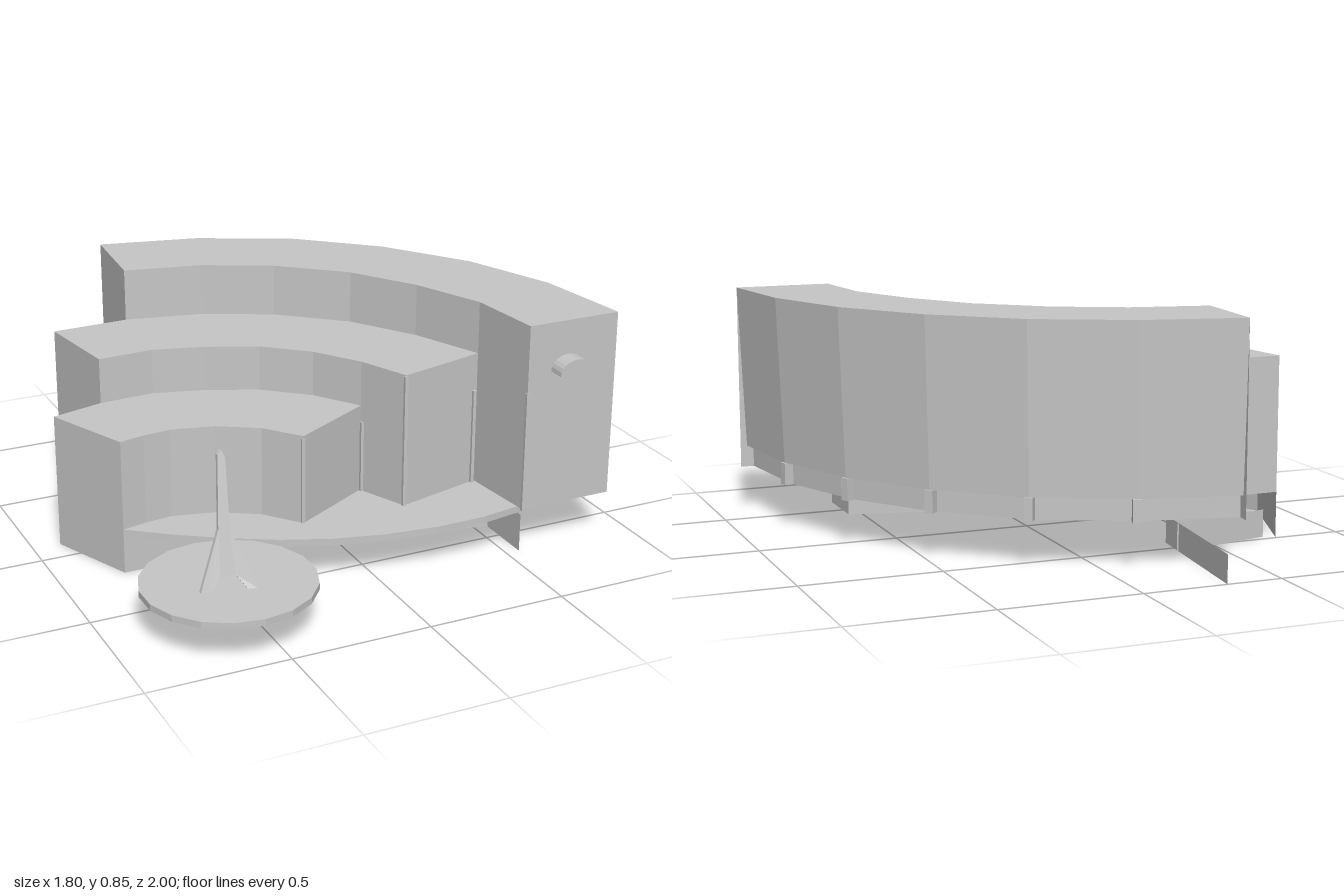
import * as THREE from 'three';

const concrete = new THREE.MeshStandardMaterial({ color: 0xc6c6c6, flatShading: true, side: THREE.DoubleSide });
concrete.name = 'pale grey';

export function createModel() {
  const model = new THREE.Group();

  const add = (name, geometry, x = 0, y = 0, z = 0) => {
    const mesh = new THREE.Mesh(geometry, concrete);
    mesh.name = name;
    mesh.position.set(x, y, z);
    model.add(mesh);
    return mesh;
  };

  const planShape = (plan) => new THREE.Shape(plan.map(([x, z]) => new THREE.Vector2(x, -z)));

  // Upright solid over a plan outline of [x, z] points
  const prism = (name, plan, y0, y1) => {
    const geo = new THREE.ExtrudeGeometry(planShape(plan), { depth: y1 - y0, bevelEnabled: false });
    add(name, geo.rotateX(-Math.PI / 2), 0, y0, 0);
  };

  // Flat sheet over a plan outline
  const deck = (name, plan, y) => add(name, new THREE.ShapeGeometry(planShape(plan)).rotateX(-Math.PI / 2), 0, y, 0);

  // Thin wall following a plan path; the top may follow a different path
  const wall = (name, path, y0, y1, topPath = path) => {
    const pos = [];
    for (let i = 0; i + 1 < path.length; i++) {
      const a = [path[i][0], y0, path[i][1]], b = [path[i + 1][0], y0, path[i + 1][1]];
      const c = [topPath[i + 1][0], y1, topPath[i + 1][1]], d = [topPath[i][0], y1, topPath[i][1]];
      pos.push(...a, ...b, ...c, ...a, ...c, ...d);
    }
    const geo = new THREE.BufferGeometry();
    geo.setAttribute('position', new THREE.Float32BufferAttribute(pos, 3));
    geo.computeVertexNormals();
    add(name, geo);
  };

  // Concentric plan curves, each from the front end round to the back end
  const tallOuter = [[0.9, 0.65], [0.85, 0.28], [0.72, -0.06], [0.51, -0.36], [0.24, -0.6], [-0.09, -0.76], [-0.45, -0.84]];
  const tallInner = [[0.55, 0.65], [0.52, 0.36], [0.41, 0.1], [0.26, -0.13], [0.04, -0.32], [-0.2, -0.44], [-0.48, -0.5]];
  const midInner = [[0.19, 0.445], [0.11, 0.26], [0, 0.1], [-0.15, -0.03], [-0.33, -0.11], [-0.51, -0.16], [-0.71, -0.15]];
  const lowInner = [[-0.19, 0.425], [-0.29, 0.3], [-0.43, 0.215], [-0.58, 0.18], [-0.68, 0.19], [-0.77, 0.21]];
  const midBack = [-0.76, -0.49], lowBack = [-0.9, -0.1];
  const ring = (outer, inner) => [...outer, ...[...inner].reverse()];
  const inset = (t) => tallOuter.map((p, i) => p.map((v, k) => v + (tallInner[i][k] - v) * t));

  // Tall block: hollow shell with a slightly tapering outer wall
  const tallFoot = inset(0.07), recess = inset(0.14);
  deck('tallRoof', ring(tallOuter, tallInner), 0.845);
  wall('tallOuterWall', tallFoot, 0.245, 0.845, tallOuter);
  wall('tallInnerWall', tallInner.slice(1), 0.655, 0.845);
  wall('tallFrontInnerWall', tallInner.slice(0, 2), 0.165, 0.845);
  wall('tallFrontEnd', [tallOuter[0], tallInner[0]], 0.165, 0.845);
  wall('tallBackEnd', [tallOuter[6], tallInner[6]], 0.165, 0.845);

  // Recessed storey with soffit and brackets
  wall('soffit', tallFoot, 0.245, 0.245, recess);
  wall('recessedWall', recess, 0.165, 0.245);
  inset(0.12).slice(1, 6).forEach(([x, z], i) => {
    const bracket = add('bracket', new THREE.BoxGeometry(0.05, 0.08, 0.03), x, 0.205, z);
    bracket.rotation.y = -Math.atan2(tallInner[i + 1][1] - z, tallInner[i + 1][0] - x);
  });

  // Middle block
  deck('middleRoof', ring([...tallInner.slice(1), midBack], midInner), 0.655);
  wall('middleStepWall', midInner.slice(1), 0.49, 0.655);
  wall('middleFrontEnd', [tallInner[1], midInner[0], midInner[1]], 0.165, 0.655);
  wall('middleBackEnd', [tallInner[6], midBack, midInner[6]], 0.165, 0.655);

  // Low block
  deck('lowRoof', ring([...midInner.slice(1), lowBack], lowInner), 0.49);
  wall('lowFrontWall', [midInner[1], ...lowInner], 0.165, 0.49);
  wall('lowBackEnd', [lowBack, midInner[6]], 0.165, 0.49);
  wall('lowSideWall', [lowInner[5], lowBack], 0, 0.49);

  // Base: corner walls, ledge, set-back plinth and end plate
  wall('baseCornerWall', [lowBack, midBack], 0, 0.165);
  deck('cornerLedge', [midBack, lowBack, midInner[6]], 0.165);
  wall('plinth', [
    [0.55, 0.64], [0.55, 0.42], [0.3, 0.36], [0.04, 0.29], [-0.2, 0.24], [-0.45, 0.2], [-0.77, 0.21],
  ], 0, 0.14);

  // Overhanging terrace with a curved front
  prism('terrace', [
    [-0.77, 0.21], [-0.63, 0.32], [-0.48, 0.42], [-0.32, 0.51], [-0.15, 0.58], [0.03, 0.625], [0.22, 0.648],
    [0.4, 0.645], [0.55, 0.62], [0.61, 0.6], [0.52, 0.36], [0.19, 0.445], [0.11, 0.26], ...lowInner.slice(0, 5),
  ], 0.14, 0.165);

  // Low walls behind the base
  wall('rearWall', [[-0.36, -0.42], [-0.3, -1]], 0, 0.1);
  wall('rearCrossWall', [[-0.34, -0.55], [-0.72, -0.47]], 0, 0.1);

  // Slim posts at the block corners
  for (const [x, z, top] of [[-0.19, 0.42, 0.48], [0.112, 0.268, 0.43], [0.19, 0.443, 0.65], [0.505, 0.37, 0.52], [0.552, 0.648, 0.6]]) {
    add('cornerPost', new THREE.BoxGeometry(0.012, top - 0.16, 0.012), x, (top + 0.16) / 2, z);
  }

  // Half-round canopy on the front of the tall block
  const canopy = new THREE.CylinderGeometry(0.065, 0.065, 0.065, 12, 1, false, -Math.PI / 2, Math.PI);
  add('canopy', canopy.rotateX(-Math.PI / 2).scale(1, 0.8, 1), 0.705, 0.67, 0.68);
  add('canopyUnderside', new THREE.BoxGeometry(0.13, 0.002, 0.065), 0.705, 0.67, 0.68);

  // Round plaza with a shallow conical underside
  const profile = [[0, 0.07], [0.233, 0.138], [0.297, 0.14], [0.297, 0.163], [0, 0.163]];
  add('plaza', new THREE.LatheGeometry(profile.map(([r, y]) => new THREE.Vector2(r, y)), 18), -0.59, 0, 0.703);

  // Leaning forked spire
  const outline = [
    [-0.71, 0.16], [-0.68, 0.16], [-0.645, 0.21], [-0.59, 0.21], [-0.56, 0.165], [-0.53, 0.165],
    [-0.592, 0.36], [-0.58, 0.58], [-0.59, 0.605], [-0.605, 0.59], [-0.632, 0.36],
  ];
  const spire = new THREE.ExtrudeGeometry(
    new THREE.Shape(outline.map(([x, y]) => new THREE.Vector2(x, y))), { depth: 0.014, bevelEnabled: false });
  const p = spire.attributes.position;
  for (let i = 0; i < p.count; i++) {
    const spread = p.getY(i) < 0.2 ? (p.getX(i) + 0.62) * 0.25 : 0;
    p.setZ(i, p.getZ(i) + 0.765 - 0.27 * (p.getY(i) - 0.16) + spread);
  }
  spire.computeVertexNormals();
  add('spire', spire);

  return model;
}
